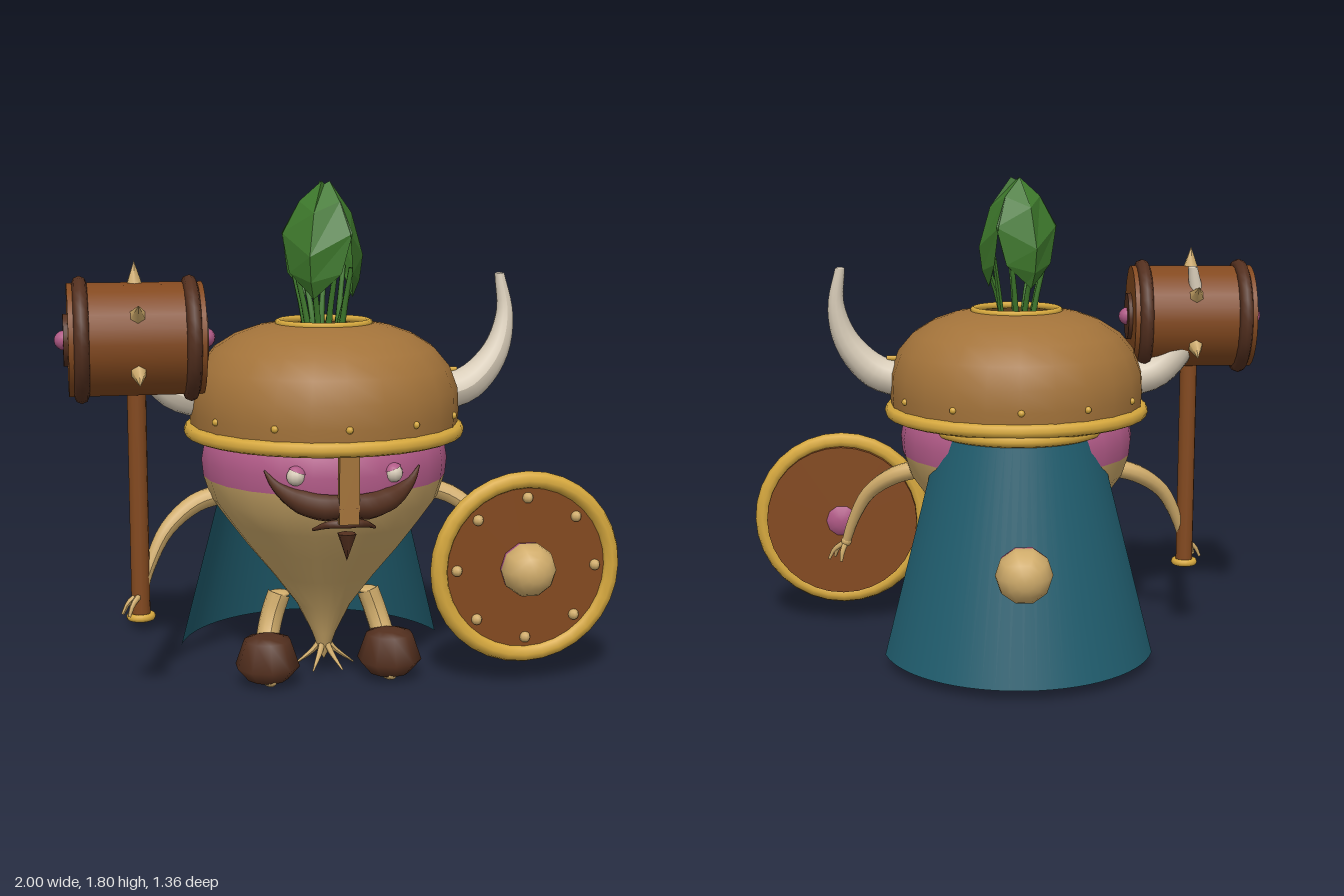
import * as THREE from 'three';

const mat = (name, color, extra = {}) => {
  const m = new THREE.MeshStandardMaterial({ color, ...extra });
  m.name = name;
  return m;
};
const V = (x, y, z) => new THREE.Vector3(x, y, z);
const CX = -0.05, CZ = 0.18; // axis of the body

export function createModel() {
  const D = { side: THREE.DoubleSide };
  const helmetBrown = mat('helmetBrown', 0xa3733a, D);
  const wood = mat('wood', 0x83491f);
  const darkBrown = mat('darkBrown', 0x54301f);
  const gold = mat('gold', 0xd6a83e);
  const pink = mat('pink', 0xb05986);
  const cream = mat('cream', 0xd0ac6b);
  const green = mat('leafGreen', 0x3d782b, D);
  const teal = mat('capeTeal', 0x205d6e, D);
  const bone = mat('bone', 0xd8ccb8);

  const model = new THREE.Group();
  const add = (name, geo, material, x = 0, y = 0, z = 0, parent = model) => {
    const m = new THREE.Mesh(geo, material);
    m.name = name;
    m.position.set(x, y, z);
    parent.add(m);
    return m;
  };
  const lathe = (pts, seg = 24) => new THREE.LatheGeometry(pts.map(p => new THREE.Vector2(...p)), seg);
  const ring = (r, tube, seg = 32) => new THREE.TorusGeometry(r, tube, 8, seg);
  // Tube whose radius follows a list of values along its path
  const taper = (pts, radii, seg = 14, sides = 10) => {
    const curve = new THREE.CatmullRomCurve3(pts);
    const geo = new THREE.TubeGeometry(curve, seg, 1, sides);
    const pos = geo.attributes.position, v = V(0, 0, 0);
    for (let i = 0; i < pos.count; i++) {
      const u = Math.floor(i / (sides + 1)) / seg;
      const t = u * (radii.length - 1), k = Math.min(Math.floor(t), radii.length - 2);
      const r = THREE.MathUtils.lerp(radii[k], radii[k + 1], t - k);
      const c = curve.getPointAt(u);
      v.fromBufferAttribute(pos, i).sub(c).multiplyScalar(r).add(c);
      pos.setXYZ(i, v.x, v.y, v.z);
    }
    geo.computeVertexNormals();
    return geo;
  };

  // Root-shaped body, cream below and pink above
  add('lowerBody', lathe([[0, 0.05], [0.02, 0.09], [0.045, 0.16], [0.1, 0.27], [0.19, 0.39], [0.28, 0.5],
    [0.355, 0.6], [0.412, 0.68], [0.438, 0.76]]), cream, CX, 0, CZ);
  add('upperBody', lathe([[0.438, 0.76], [0.444, 0.82], [0.43, 0.9], [0.35, 0.96], [0, 0.99]]), pink, CX, 0, CZ);
  add('leafCrown', new THREE.SphereGeometry(0.18, 16, 6, 0, Math.PI * 2, 0, Math.PI / 2).scale(1, 0.3, 1), green, CX, 0.97, CZ);
  for (let i = 0; i < 6; i++) {
    const a = i * Math.PI / 3 + 0.5, s = Math.sin(a), c = Math.cos(a);
    add('rootHair', taper([V(CX, 0.16, CZ), V(CX + s * 0.03, 0.1, CZ + c * 0.03), V(CX + s * 0.11, 0.035, CZ + c * 0.11)],
      [0.014, 0.01, 0.003], 8, 6), cream);
  }

  // Helmet shell, rims, studs and nose guard
  add('helmet', lathe([[0.478, 0.92], [0.484, 0.99], [0.48, 1.07], [0.45, 1.15], [0.395, 1.215], [0.32, 1.262],
    [0.24, 1.29], [0.16, 1.302]]), helmetBrown, CX, 0, CZ);
  add('helmetRim', ring(0.479, 0.026).rotateX(Math.PI / 2), gold, CX, 0.923, CZ);
  add('helmetTopRing', ring(0.163, 0.013).rotateX(Math.PI / 2), gold, CX, 1.302, CZ);
  for (let i = 0; i < 12; i++) {
    const a = i * Math.PI / 6;
    add('helmetStud', new THREE.SphereGeometry(0.013, 8, 6), gold, CX + 0.482 * Math.sin(a), 0.99, CZ + 0.482 * Math.cos(a));
  }
  add('noseGuard', new THREE.BoxGeometry(0.068, 0.24, 0.03), helmetBrown, CX, 0.79, 0.648);

  // Leaf bud: three folded leaves meeting along their edges, on thin stems
  // rows: height and radius of the midrib, height and radius of the edges, half angle
  const rows = [[1.39, 0.105, 1.41, 0.1, 0.2], [1.45, 0.13, 1.48, 0.13, 0.85], [1.54, 0.142, 1.62, 0.15, 1.08],
    [1.69, 0.1, 1.73, 0.088, 1.06], [1.8, 0.022, 1.79, 0.004, 1.047]];
  for (let k = 0; k < 3; k++) {
    const leaf = new THREE.Group();
    leaf.name = 'leaf';
    leaf.position.set(CX, 0, CZ);
    leaf.rotation.y = Math.PI / 2 + k * Math.PI * 2 / 3;
    model.add(leaf);
    const p = [], idx = [];
    rows.forEach(([ym, rm, ye, re, a], i) => {
      const w = re * Math.sin(a), d = re * Math.cos(a);
      p.push(-w, ye, d, 0, ym, rm, w, ye, d);
      if (i) for (let j = 0; j < 2; j++) {
        const q = (i - 1) * 3 + j;
        idx.push(q, q + 1, q + 4, q, q + 4, q + 3);
      }
    });
    let geo = new THREE.BufferGeometry();
    geo.setAttribute('position', new THREE.Float32BufferAttribute(p, 3));
    geo.setIndex(idx);
    geo = geo.toNonIndexed();
    geo.computeVertexNormals();
    add('leafBlade', geo, green, 0, 0, 0, leaf);
    for (const s of [-1, 0, 1]) {
      add('stem', taper([V(s * 0.025, 0.98, 0.04), V(s * 0.04, 1.3, 0.06), V(s * 0.075, 1.5, s ? 0.085 : 0.12)],
        [0.015, 0.013, 0.009], 8, 6), green, 0, 0, 0, leaf);
    }
  }

  // Parts that repeat on both sides of the body axis
  for (const s of [1, -1]) {
    const P = (x, y, z) => V(CX + s * x, y, z);
    add('horn', taper([P(0.42, 1.03, 0.175), P(0.54, 1.07, 0.175), P(0.64, 1.18, 0.165), P(0.68, 1.32, 0.148), P(0.662, 1.465, 0.135)],
      [0.068, 0.067, 0.056, 0.042, 0.028, 0.018], 18, 12), bone);
    add('hornTip', new THREE.SphereGeometry(0.018, 8, 6).scale(1, 0.4, 1), bone, CX + s * 0.662, 1.463, 0.135);
    add('hornPin', new THREE.CylinderGeometry(0.01, 0.01, 0.06, 8).rotateZ(Math.PI / 2), gold, CX + s * 0.465, 1.12, 0.17);
    add('arm', taper([P(0.37, 0.69, 0.17), P(0.47, 0.66, 0.185), P(0.575, 0.58, 0.23), P(0.64, 0.46, 0.265), P(0.67, 0.37, 0.285)],
      [0.036, 0.034, 0.028, 0.022, 0.018]), cream);
    add('palm', new THREE.SphereGeometry(0.021, 10, 8), cream, CX + s * 0.67, 0.37, 0.285);
    for (const [dx, dz] of [[0.05, 0.05], [0.02, -0.03], [0.07, 0.01]]) {
      add('finger', taper([P(0.67, 0.37, 0.285), P(0.67 + dx * 0.7, 0.335, 0.285 + dz * 0.7), P(0.67 + dx, 0.295, 0.285 + dz)],
        [0.012, 0.01, 0.006], 6, 6), cream);
    }
    add('leg', taper([P(0.165, 0.31, 0.172), P(0.19, 0.24, 0.177), P(0.21, 0.17, 0.2), P(0.225, 0.1, 0.25)],
      [0.042, 0.042, 0.042, 0.04]), cream);
    add('hip', new THREE.SphereGeometry(0.042, 10, 8).scale(1, 0.3, 1), cream, CX + s * 0.165, 0.308, 0.172);
    add('boot', lathe([[0, 0.022], [0.075, 0.025], [0.118, 0.075], [0.085, 0.17], [0.045, 0.182], [0, 0.183]], 10),
      darkBrown, CX + s * 0.225, 0, 0.283);
    add('footSole', new THREE.SphereGeometry(1, 10, 8).scale(0.035, 0.03, 0.085), cream, CX + s * 0.22, 0.03, 0.28);
    add('eye', new THREE.SphereGeometry(0.032, 12, 8), bone, CX + s * 0.168, 0.825, 0.58);
    const lid = add('eyelid', new THREE.SphereGeometry(0.036, 12, 5, 0, Math.PI * 2, 0, Math.PI * 0.34), pink,
      CX + s * 0.168, 0.825, 0.58);
    lid.rotation.z = s * 0.35;
    add('moustache', taper([P(-0.01, 0.728, 0.625), P(0.08, 0.722, 0.615), P(0.17, 0.747, 0.585), P(0.235, 0.793, 0.555), P(0.268, 0.84, 0.535)],
      [0.038, 0.046, 0.041, 0.022, 0.003], 16, 8), darkBrown);
  }
  add('mouth', taper([V(CX - 0.108, 0.636, 0.565), V(CX - 0.06, 0.66, 0.605), V(CX, 0.662, 0.615), V(CX + 0.06, 0.66, 0.605), V(CX + 0.108, 0.636, 0.565)],
    [0.005, 0.013, 0.015, 0.013, 0.005], 14, 6), darkBrown);
  add('goatee', new THREE.ConeGeometry(0.034, 0.095, 6).rotateX(Math.PI), darkBrown, CX, 0.583, 0.615);

  // Two-coloured ball: cream on one half, pink on the other
  const ball = (name, x, y, z, flip) => {
    const g = new THREE.Group();
    g.name = name;
    g.position.set(x, y, z);
    g.rotation.x = flip ? -Math.PI / 2 : Math.PI / 2;
    model.add(g);
    add('creamHalf', new THREE.SphereGeometry(0.1, 10, 5, 0, Math.PI * 2, 0, Math.PI / 2), cream, 0, 0, 0, g);
    add('pinkHalf', new THREE.SphereGeometry(0.1, 10, 5, 0, Math.PI * 2, Math.PI / 2, Math.PI / 2), pink, 0, 0, 0, g);
  };

  // Cape with a gold collar and a floating ball behind it
  add('cape', new THREE.CylinderGeometry(0.296, 0.515, 0.85, 28, 1, true, Math.PI - 1.335, 2.67), teal, CX, 0.465, 0);
  add('capeCollar', new THREE.TorusGeometry(0.303, 0.022, 8, 24, Math.PI - 0.47).rotateZ(0.235).rotateX(-Math.PI / 2), gold, CX, 0.888, 0);
  ball('capeBall', CX, 0.48, -0.575, true);

  // Round shield
  const SX = 0.643, SY = 0.43;
  add('shieldBoard', new THREE.CylinderGeometry(0.3, 0.3, 0.055, 32).rotateX(Math.PI / 2), wood, SX, SY, 0.402);
  add('shieldRim', ring(0.32, 0.032), gold, SX, SY, 0.42);
  ball('shieldBoss', SX, SY, 0.452, false);
  for (let i = 0; i < 8; i++) {
    const a = i * Math.PI / 4;
    add('shieldStud', new THREE.SphereGeometry(0.02, 8, 6), cream, SX + 0.257 * Math.cos(a), SY + 0.257 * Math.sin(a), 0.432);
  }

  // War hammer
  const hammer = new THREE.Group();
  hammer.name = 'hammer';
  hammer.position.set(-0.725, 1.265, 0.275);
  model.add(hammer);
  const side = Math.PI / 2;
  add('hammerHead', new THREE.CylinderGeometry(0.195, 0.195, 0.46, 24).rotateZ(side), wood, 0, 0, 0, hammer);
  add('hammerHandle', new THREE.CylinderGeometry(0.033, 0.033, 0.9, 12), wood, 0, -0.54, 0, hammer);
  add('handleRing', ring(0.038, 0.014, 20).rotateX(side), gold, 0, -0.985, 0, hammer);
  for (const s of [-1, 1]) {
    add('hammerBand', ring(0.193, 0.026).rotateY(side), darkBrown, s * 0.187, 0, 0, hammer);
    add('hammerPlate', new THREE.CylinderGeometry(0.09, 0.09, 0.03, 20).rotateZ(side), darkBrown, s * 0.23, 0, 0, hammer);
    add('hammerKnob', new THREE.SphereGeometry(0.034, 12, 8), pink, s * 0.242, 0, 0, hammer);
  }
  for (let i = 0; i < 6; i++) {
    const a = i * Math.PI / 3;
    const spike = add('hammerSpike', new THREE.ConeGeometry(0.03, 0.08, 6), cream, 0, 0.228 * Math.cos(a), 0.228 * Math.sin(a), hammer);
    spike.rotation.x = a;
  }
  return model;
}
